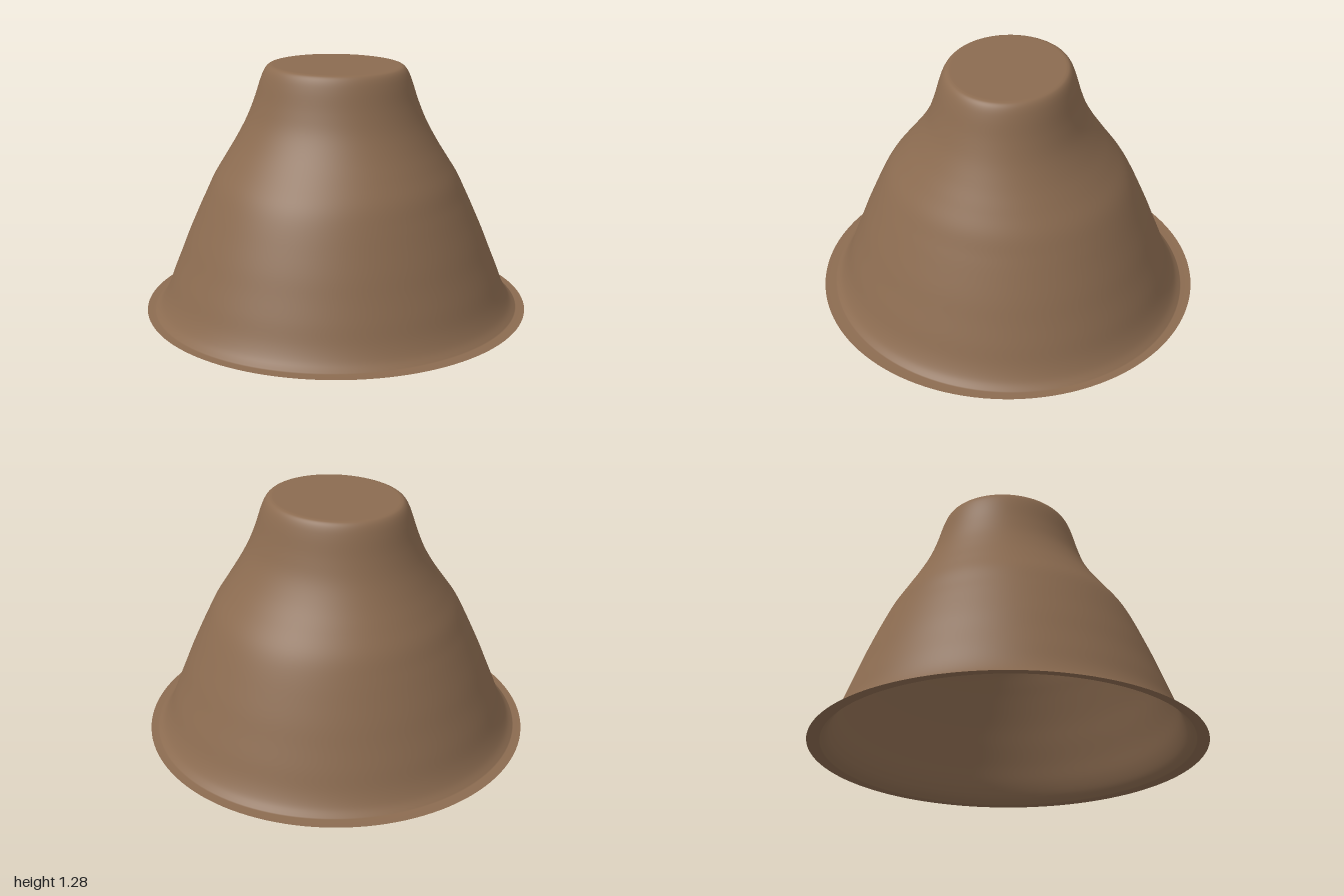
import * as THREE from 'three';
import { mergeVertices } from 'three/addons/utils/BufferGeometryUtils.js';

// Average outline, [radius, height], from the skirt edge up to the plateau
const OUTLINE = [
  [0.95, 0], [0.915, 0.035], [0.88, 0.1], [0.842, 0.2], [0.802, 0.3], [0.763, 0.4],
  [0.72, 0.5], [0.675, 0.6], [0.625, 0.7], [0.558, 0.8], [0.492, 0.9], [0.437, 1],
  [0.398, 1.1], [0.367, 1.2], [0.347, 1.25], [0.328, 1.274], [0.308, 1.28],
];

// Out-of-round stretch: a slight widening in x, and a diagonal one near the top
function stretch(x, y, z) {
  const r2 = x * x + z * z;
  if (r2 < 1e-8 || r2 > 0.99) return 1;
  const wide = 0.013 * (x * x - z * z) / r2;
  const diagonal = 0.063 * THREE.MathUtils.smoothstep(y, 0.6, 1.05) * 2 * x * z / r2;
  return 1 + wide + diagonal;
}

function moundGeometry() {
  const curve = new THREE.SplineCurve(OUTLINE.map(([r, y]) => new THREE.Vector2(r, y)));
  const points = [
    new THREE.Vector2(1, 0), // flat skirt
    ...curve.getPoints(80).map((p) => new THREE.Vector2(p.x, THREE.MathUtils.clamp(p.y, 0, 1.28))),
    new THREE.Vector2(0.29, 1.28), // flat plateau
    new THREE.Vector2(0, 1.28),
  ];
  let geometry = new THREE.LatheGeometry(points, 128);
  const pos = geometry.attributes.position;
  for (let i = 0; i < pos.count; i++) {
    const x = pos.getX(i), y = pos.getY(i), z = pos.getZ(i);
    const s = stretch(x, y, z);
    pos.setXYZ(i, x * s, y, z * s);
  }
  // Weld the seam so that the shading runs smoothly all round
  geometry.deleteAttribute('uv');
  geometry.deleteAttribute('normal');
  geometry = mergeVertices(geometry, 1e-5);
  geometry.computeVertexNormals();
  return geometry;
}

export function createModel() {
  const group = new THREE.Group();
  group.name = 'mound';
  // Hollow shell, open underneath
  const earth = new THREE.MeshStandardMaterial({ color: 0x8b6b50, side: THREE.DoubleSide });
  const shell = new THREE.Mesh(moundGeometry(), earth);
  shell.name = 'moundShell';
  group.add(shell);
  return group;
}
